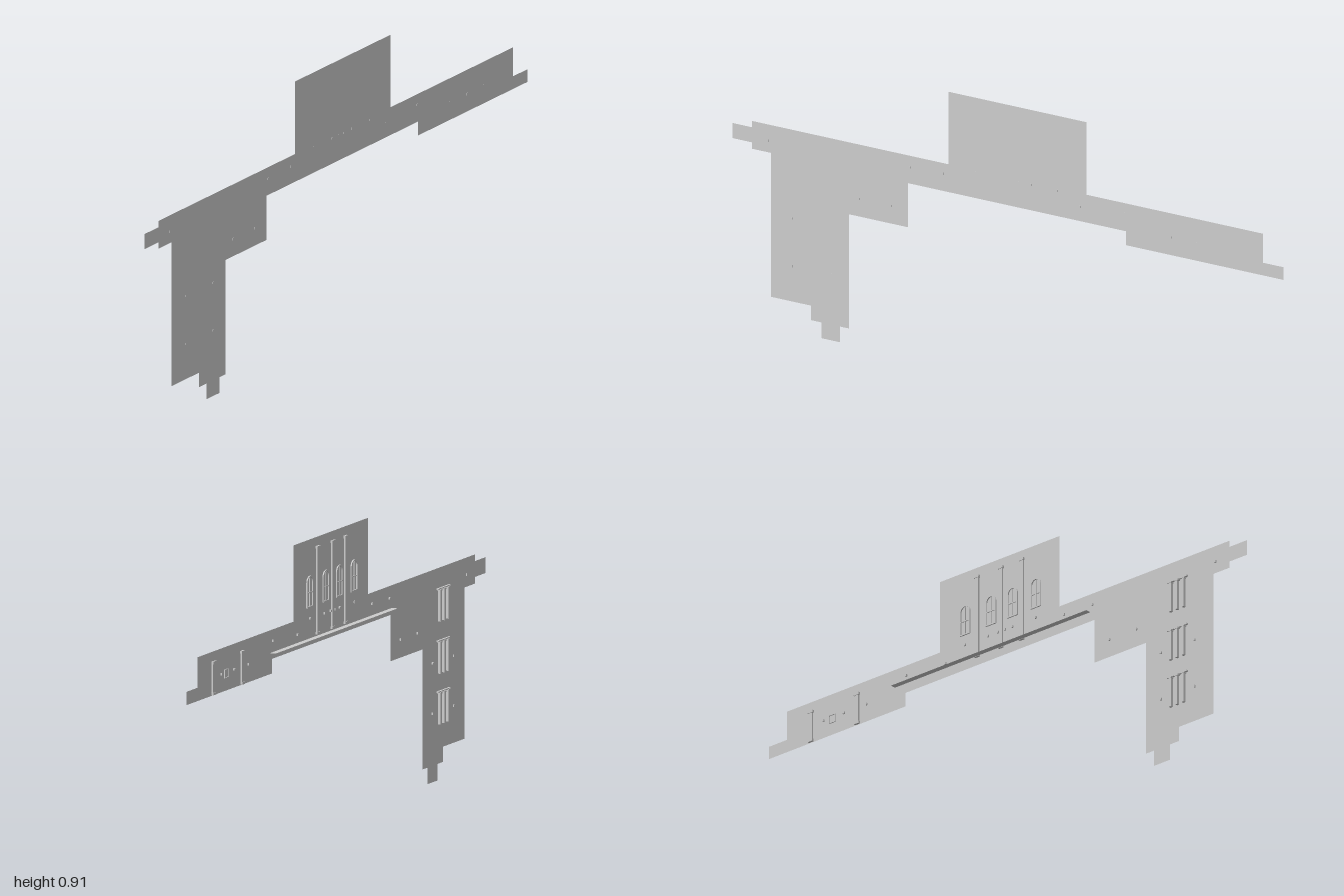
import * as THREE from 'three';

const WALL_Z = 0.0145; // plane of the facade; relief stands out toward -z

export function createModel() {
  const model = new THREE.Group();
  model.name = 'facade';
  const stone = new THREE.MeshStandardMaterial({ color: 0xcccccc, side: THREE.DoubleSide });
  stone.name = 'paleGreyStone';

  const add = (name, geometry, parent = model) => {
    const mesh = new THREE.Mesh(geometry, stone);
    mesh.name = name;
    parent.add(mesh);
    return mesh;
  };
  // Box given by centre x, bottom y, size and relief depth from the wall
  const relief = (name, x, y, w, h, d, parent) =>
    add(name, new THREE.BoxGeometry(w, h, d), parent).position.set(x, y + h / 2, WALL_Z - d / 2);

  // Flat stepped wall
  const outline = [
    [-1, 0.647], [-0.928, 0.647], [-0.928, 0.668], [-0.215, 0.668], [-0.215, 0.908], [0.285, 0.908],
    [0.285, 0.668], [0.925, 0.668], [0.925, 0.572], [1, 0.572], [1, 0.53], [0.428, 0.53],
    [0.428, 0.576], [-0.363, 0.576], [-0.363, 0.43], [-0.577, 0.43], [-0.577, 0.052], [-0.61, 0.052],
    [-0.61, 0], [-0.677, 0], [-0.677, 0.052], [-0.715, 0.052], [-0.715, 0.1], [-0.86, 0.1],
    [-0.86, 0.576], [-0.928, 0.576], [-0.928, 0.597], [-1, 0.597],
  ].map(([x, y]) => new THREE.Vector2(x, y));
  add('wall', new THREE.ShapeGeometry(new THREE.Shape(outline))).position.z = WALL_Z;

  // Thin balcony floor along the back
  const floor = new THREE.PlaneGeometry(0.818, 0.0195).rotateX(-Math.PI / 2);
  add('balconyFloor', floor).position.set(0.054, 0.601, -0.00575);

  // Pilasters with base and capital
  const pilaster = (x, y, w, h) => {
    const group = new THREE.Group();
    group.name = 'pilaster';
    model.add(group);
    relief('shaft', x, y, w, h, 0.005, group);
    relief('base', x, y, w * 1.3, 0.008, 0.007, group);
    relief('capital', x, y + h - 0.008, w * 1.4, 0.008, 0.007, group);
  };
  for (const x of [0.127, 0.027, -0.06]) pilaster(x, 0.602, 0.014, 0.278);
  for (const x of [0.823, 0.63]) pilaster(x, 0.532, 0.015, 0.106);

  // Arched tower windows: frame, mullion and crossbar
  const arch = (Path, r, bottom, spring) => {
    const p = new Path();
    p.moveTo(-r, bottom);
    p.lineTo(r, bottom);
    p.lineTo(r, spring);
    p.absarc(0, spring, r, 0, Math.PI, false);
    p.lineTo(-r, bottom);
    return p;
  };
  const frame = arch(THREE.Shape, 0.021, 0, 0.079);
  frame.holes.push(arch(THREE.Path, 0.017, 0.004, 0.079));
  const frameGeometry = new THREE.ExtrudeGeometry(frame, { depth: 0.004, bevelEnabled: false, curveSegments: 8 });
  for (const x of [0.178, 0.07, -0.02, -0.118]) {
    const group = new THREE.Group();
    group.name = 'archedWindow';
    model.add(group);
    add('frame', frameGeometry, group).position.set(x, 0.694, WALL_Z - 0.004);
    relief('mullion', x, 0.698, 0.003, 0.09, 0.003, group);
    relief('crossbar', x, 0.74, 0.034, 0.003, 0.003, group);
  }

  // Three pillared windows on the tall wing
  for (const y of [0.5, 0.336, 0.176]) {
    const group = new THREE.Group();
    group.name = 'pillaredWindow';
    model.add(group);
    for (const i of [-1, 0, 1]) {
      relief('post', -0.712 + i * 0.027, y, 0.009, 0.1, 0.009, group);
      relief('postCap', -0.712 + i * 0.027, y + 0.097, 0.014, 0.005, 0.0105, group);
    }
    relief('lintel', -0.712, y + 0.101, 0.084, 0.004, 0.007, group);
  }

  // Small square window on the short wing
  const sx = 0.735, sy = 0.57, s = 0.026;
  for (const i of [0, 1]) {
    relief('smallWindowRail', sx, sy + i * s, s, 0.002, 0.003);
    relief('smallWindowJamb', sx + (i - 0.5) * s, sy, 0.002, s, 0.003);
  }

  // Small lamps set through the wall
  const lamps = [
    [-0.87, 0.615], [-0.642, 0.375], [-0.783, 0.375], [-0.642, 0.217], [-0.783, 0.217],
    [-0.54, 0.488], [-0.426, 0.488], [-0.355, 0.63], [-0.237, 0.633], [0.26, 0.623], [0.424, 0.633],
    [0.178, 0.66], [0.082, 0.66], [0.04, 0.66], [0.01, 0.66], [-0.02, 0.66], [-0.118, 0.66],
    [0.77, 0.588], [0.685, 0.588], [0.59, 0.588],
  ];
  const lampGeometry = new THREE.BoxGeometry(0.005, 0.007, 0.006);
  for (const [x, y] of lamps) add('lamp', lampGeometry).position.set(x, y, 0.0125);

  return model;
}
